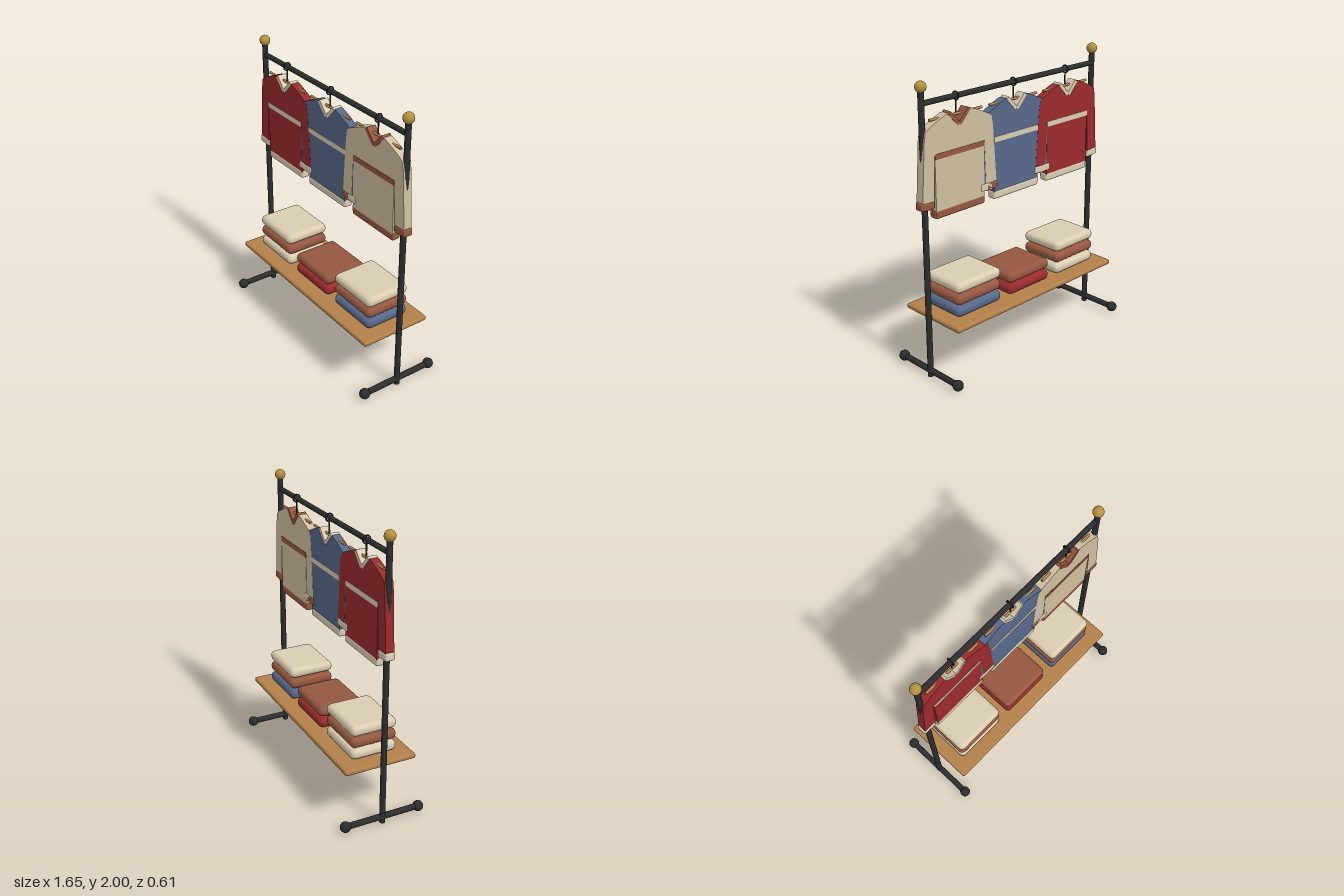
import * as THREE from 'three';
import { RoundedBoxGeometry } from 'three/addons/geometries/RoundedBoxGeometry.js';

const mat = (name, color) => {
  const m = new THREE.MeshStandardMaterial({ color });
  m.name = name;
  return m;
};

export function createModel() {
  const iron = mat('black iron', 0x2b2d2f);
  const brass = mat('brass', 0xb8923f);
  const wood = mat('wood', 0xb38049);
  const red = mat('red wool', 0x9a2a2e);
  const blue = mat('blue wool', 0x566889);
  const beige = mat('beige wool', 0xcfbf9f);
  const cream = mat('cream wool', 0xdacdb2);
  const brown = mat('brown wool', 0x95573f);

  const model = new THREE.Group();
  model.name = 'clothesRack';

  const add = (parent, name, geometry, material, x = 0, y = 0, z = 0) => {
    const mesh = new THREE.Mesh(geometry, material);
    mesh.name = name;
    mesh.position.set(x, y, z);
    parent.add(mesh);
    return mesh;
  };
  const rod = (r, length, axis = 'y') => {
    const g = new THREE.CylinderGeometry(r, r, length, 16);
    if (axis === 'x') g.rotateZ(Math.PI / 2);
    if (axis === 'z') g.rotateX(Math.PI / 2);
    return g;
  };
  const softBox = (w, h, d, r) => new RoundedBoxGeometry(w, h, d, 2, r);

  // Frame: two posts with feet and finials, joined by a rail
  for (const s of [-1, 1]) {
    const x = s * 0.775;
    add(model, 'post', rod(0.02, 1.95), iron, x, 0.975);
    add(model, 'finial', new THREE.SphereGeometry(0.037, 16, 12), brass, x, 1.963);
    add(model, 'footBar', rod(0.021, 0.54, 'z'), iron, x, 0.043);
    for (const z of [-0.271, 0.271])
      add(model, 'footKnob', new THREE.SphereGeometry(0.037, 14, 10), iron, x, 0.043, z);
  }
  add(model, 'rail', rod(0.018, 1.55, 'x'), iron, 0, 1.86);

  // Shelf with stacks of folded clothes
  add(model, 'shelf', softBox(1.5, 0.036, 0.515, 0.014), wood, 0, 0.418);
  const stacks = [[cream, brown, cream], [red, brown], [blue, brown, cream]];
  stacks.forEach((stack, i) => stack.forEach((m, level) => {
    add(model, 'foldedSweater', softBox(0.39, 0.074, 0.33, 0.034), m,
      (i - 1) * 0.465, 0.474 + level * 0.084);
  }));

  // Right half of the sweater outline, from the neck point round to the hem
  const half = [
    [0, 1.683], [0.08, 1.768], [0.105, 1.768], [0.17, 1.742], [0.24, 1.71], [0.275, 1.685],
    [0.286, 1.62], [0.315, 1.21], [0.222, 1.21], [0.208, 1.54], [0.205, 1.52], [0.205, 1.13],
  ];
  const outline = [...half, ...half.slice(1).reverse().map(([x, y]) => [-x, y])]
    .map(([x, y]) => new THREE.Vector2(x, y));

  const makeSweater = (name, x, wool, trim, depth) => {
    const g = new THREE.Group();
    g.name = name;
    g.position.x = x;
    model.add(g);

    const body = new THREE.ExtrudeGeometry(new THREE.Shape(outline), { depth, bevelEnabled: false });
    add(g, 'bodyAndSleeves', body, wool, 0, 0, -depth / 2);
    add(g, 'chestStripe', new THREE.BoxGeometry(0.41, 0.036, depth + 0.005), trim, 0, 1.516);
    add(g, 'hem', softBox(0.42, 0.06, 0.066, 0.016), trim, 0, 1.135);
    for (const s of [-1, 1]) {
      const cuff = add(g, 'cuff', softBox(0.106, 0.055, 0.07, 0.014), trim, s * 0.271, 1.211);
      cuff.rotation.z = s * 0.06;
      const collar = add(g, 'collar', new THREE.BoxGeometry(0.115, 0.026, 0.066), trim,
        s * 0.042, 1.729);
      collar.rotation.z = s * 0.82;
    }

    // Hanger: wooden bar, stem and a ring round the rail
    add(g, 'hangerBar', rod(0.009, 0.435, 'x'), wood, 0, 1.746);
    add(g, 'hangerStem', rod(0.005, 0.095), iron, 0, 1.79);
    const ring = new THREE.TorusGeometry(0.026, 0.005, 8, 20);
    add(g, 'hangerRing', ring.rotateY(Math.PI / 2), iron, 0, 1.86);
  };
  makeSweater('redSweater', -0.5, red, cream, 0.06);
  makeSweater('blueSweater', 0, blue, cream, 0.058);
  makeSweater('beigeSweater', 0.5, beige, brown, 0.06);

  return model;
}
